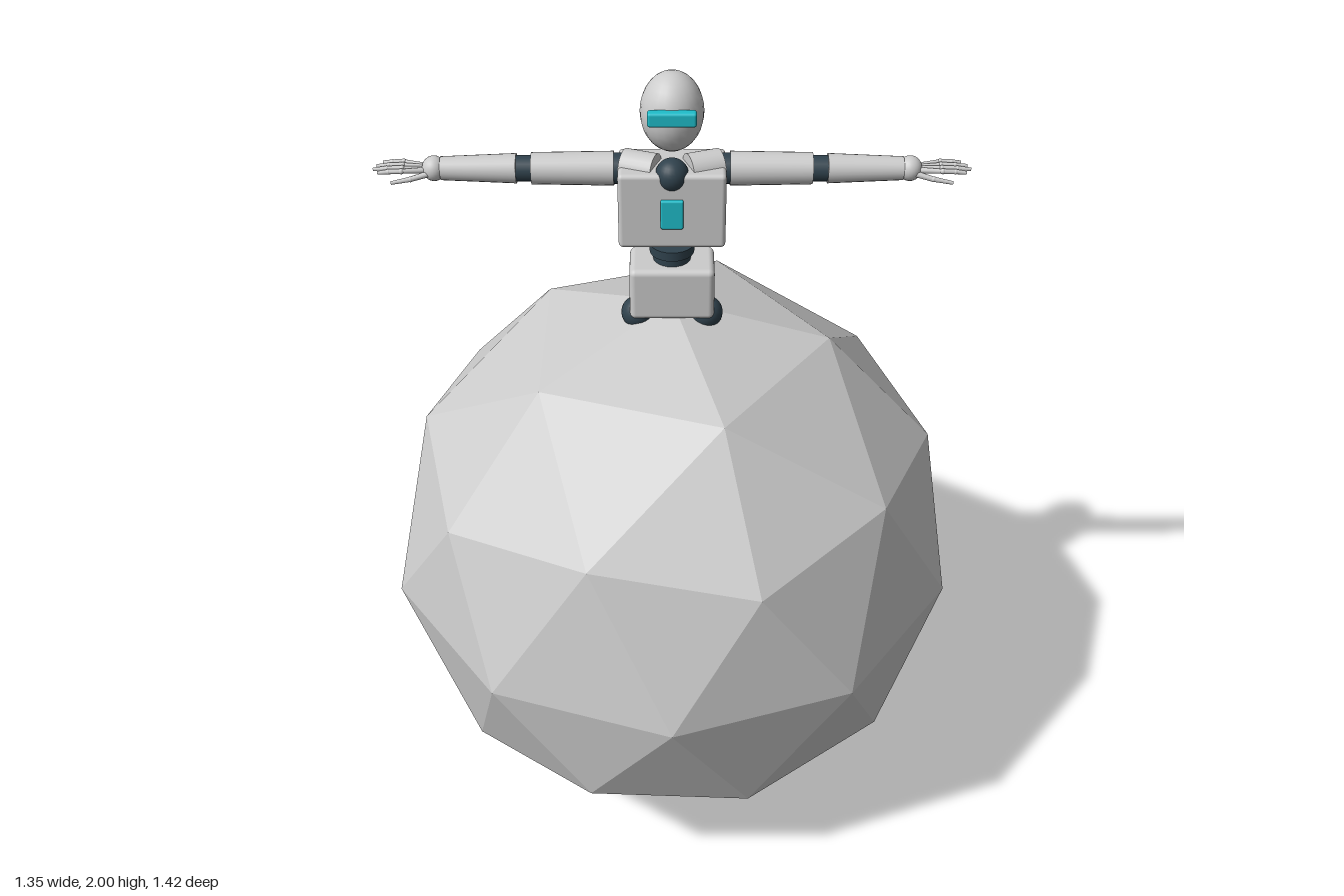
import * as THREE from 'three';
import { RoundedBoxGeometry } from 'three/addons/geometries/RoundedBoxGeometry.js';

const mat = (name, color) => {
  const m = new THREE.MeshStandardMaterial({ color });
  m.name = name;
  return m;
};

export function createModel() {
  const shell = mat('shell grey', 0xcccccc);
  const joint = mat('joint slate', 0x30424d);
  const glow = mat('glow cyan', 0x1fbecb);
  const model = new THREE.Group();
  model.name = 'ballRobot';

  const add = (parent, name, geometry, material, x = 0, y = 0, z = 0) => {
    const mesh = new THREE.Mesh(geometry, material);
    mesh.name = name;
    mesh.position.set(x, y, z);
    parent.add(mesh);
    return mesh;
  };
  const box = (w, h, d, r) => new RoundedBoxGeometry(w, h, d, 3, r);
  const ball = (r) => new THREE.SphereGeometry(r, 24, 16);

  // Tapered rod between two points
  const rod = (parent, name, a, b, ra, rb, material, sides = 24) => {
    const from = new THREE.Vector3(...a);
    const to = new THREE.Vector3(...b);
    const dir = to.clone().sub(from);
    const mesh = add(parent, name, new THREE.CylinderGeometry(rb, ra, dir.length(), sides), material);
    mesh.position.copy(from).add(to).multiplyScalar(0.5);
    mesh.quaternion.setFromUnitVectors(new THREE.Vector3(0, 1, 0), dir.normalize());
    return mesh;
  };

  // Faceted ball base with one vertex straight up
  const base = new THREE.IcosahedronGeometry(0.71, 1);
  base.rotateZ(-Math.atan(2 / (1 + Math.sqrt(5))));
  base.computeVertexNormals();
  add(model, 'ballBase', base, shell, 0, 0.712, 0);

  // Hips and waist
  add(model, 'pelvis', box(0.194, 0.13, 0.122, 0.014), shell, 0, 1.47, 0);
  add(model, 'waistLower', new THREE.CylinderGeometry(0.043, 0.043, 0.04, 24), joint, 0, 1.54, -0.004);
  add(model, 'waistUpper', new THREE.CylinderGeometry(0.051, 0.051, 0.022, 24), joint, 0, 1.565, -0.004);

  // Chest
  add(model, 'chest', box(0.238, 0.18, 0.136, 0.01), shell, 0, 1.687, -0.006);
  add(model, 'chestLight', box(0.05, 0.07, 0.012, 0.004), glow, 0, 1.685, 0.066);
  add(model, 'neckJoint', ball(0.037), joint, 0, 1.767, 0.036);

  // Head
  add(model, 'head', ball(1), shell, 0, 1.912, 0.024).scale.set(0.069, 0.088, 0.073);
  add(model, 'visor', box(0.104, 0.032, 0.024, 0.006), glow, 0, 1.929, 0.097);

  // Arms, hips and collars on both sides
  for (const s of [1, -1]) {
    add(model, 'hipJoint', ball(0.038), joint, s * 0.08, 1.403, 0.02);

    const arm = new THREE.Group();
    arm.name = s > 0 ? 'leftArm' : 'rightArm';
    model.add(arm);
    const y = 1.757;
    const z = -0.013;
    rod(arm, 'collar', [s * 0.036, 1.764, 0.012], [s * 0.106, 1.764, -0.014], 0.038, 0.038, shell);
    rod(arm, 'shoulderJoint', [s * 0.1, y, z], [s * 0.135, y, z], 0.034, 0.034, joint);
    rod(arm, 'upperArm', [s * 0.128, y, z], [s * 0.31, y, z], 0.038, 0.035, shell);
    rod(arm, 'elbowJoint', [s * 0.305, y, z], [s * 0.345, y, z], 0.029, 0.029, joint);
    rod(arm, 'forearm', [s * 0.343, y, z], [s * 0.51, y, z], 0.033, 0.026, shell);
    add(arm, 'wrist', ball(0.028), shell, s * 0.525, y, z).scale.x = 0.95;

    // Hand: fanned palm bones and four jointed fingers
    const lengths = [0.106, 0.118, 0.112, 0.1];
    for (let i = 0; i < 4; i++) {
      const k = i - 1.5;
      const zk = z + 0.001 - k * 0.0155;
      const knuckle = [s * 0.594, 1.762, zk];
      const middle = [s * (0.594 + (lengths[i] - 0.05) * 0.5), 1.761, zk];
      const tip = [s * (0.54 + lengths[i]), 1.759, zk - k * 0.001];
      rod(arm, 'palmBone', [s * 0.54, y, z - k * 0.006], knuckle, 0.007, 0.005, shell, 10);
      add(arm, 'knuckle', ball(0.0065), shell, ...knuckle);
      rod(arm, 'fingerBase', knuckle, middle, 0.0058, 0.0055, shell, 10);
      add(arm, 'fingerJoint', ball(0.006), shell, ...middle);
      rod(arm, 'fingerTip', middle, tip, 0.0055, 0.004, shell, 10);
    }

    // Thumb
    const thumbBase = [s * 0.575, 1.744, 0.014];
    rod(arm, 'thumbBone', [s * 0.535, 1.752, 0.004], thumbBase, 0.007, 0.006, shell, 10);
    add(arm, 'thumbJoint', ball(0.0065), shell, ...thumbBase);
    rod(arm, 'thumbTip', thumbBase, [s * 0.618, 1.738, 0.02], 0.006, 0.004, shell, 10);
  }
  return model;
}
